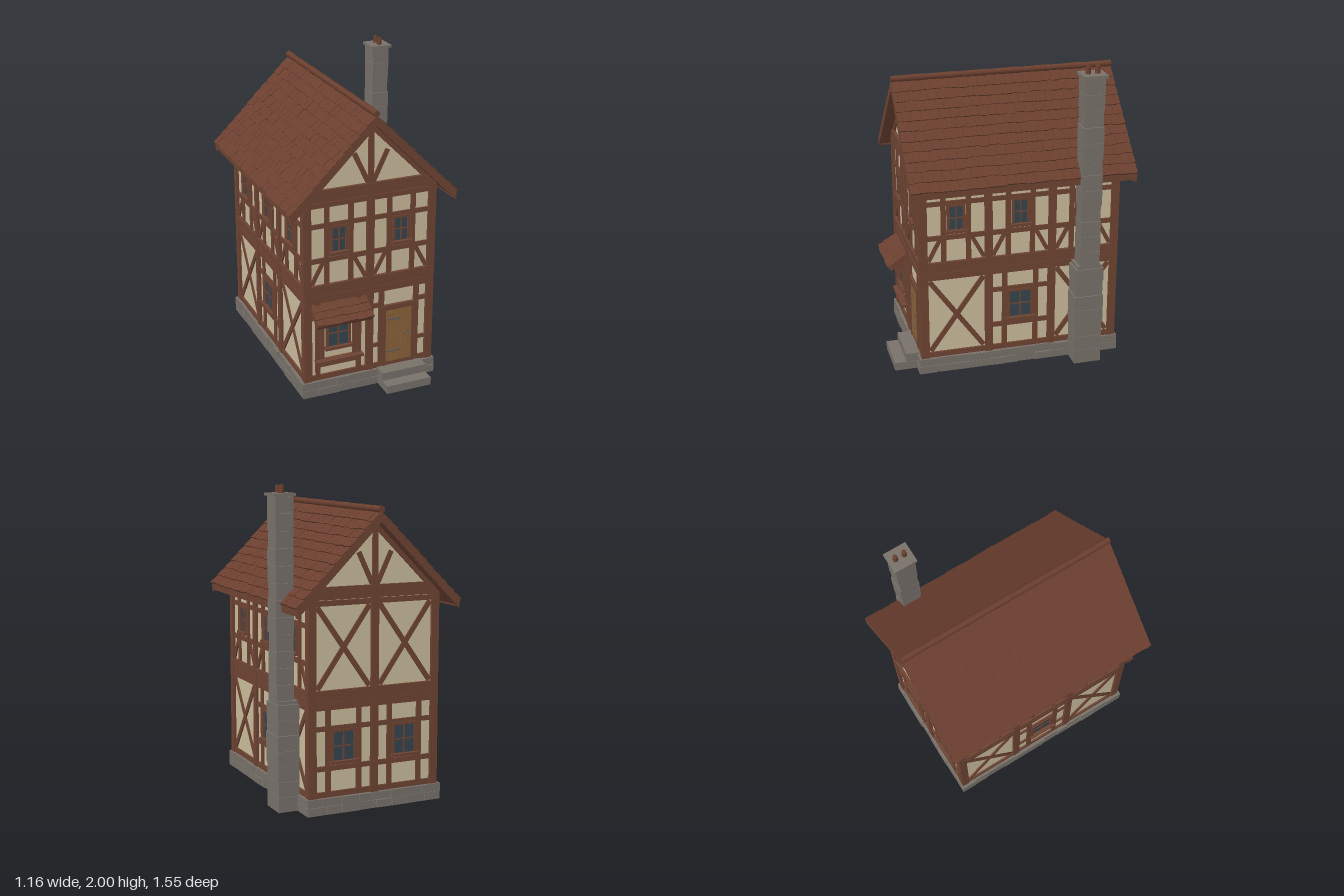
import * as THREE from 'three';
import { mergeGeometries } from 'three/addons/utils/BufferGeometryUtils.js';

const mat = (name, color) => Object.assign(new THREE.MeshStandardMaterial({ color }), { name });
const timber = mat('timber', 0x6e4433);
const tile = mat('roof tile', 0x6b3f2f);
const plaster = mat('plaster', 0xcbbc9c);
const stone = mat('stone', 0x78716a);
const glass = mat('window glass', 0x35444f);
const doorWood = mat('door wood', 0x8b6238);
const iron = mat('iron', 0x5c5c5e);
const floorWood = mat('floor wood', 0x4c3623);

const CX = -0.025, CZ = -0.045;      // centre of the house body
const HW = 0.43, HL = 0.64;          // half width and half length of the plaster walls
let seed = 7;
const rnd = () => (seed = (seed * 16807) % 2147483647) / 2147483647;
const jit = a => (rnd() - 0.5) * 2 * a;

// box given by its limits
function box(x0, x1, y0, y1, z0, z1) {
  return new THREE.BoxGeometry(x1 - x0, y1 - y0, z1 - z0)
    .translate((x0 + x1) / 2, (y0 + y1) / 2, (z0 + z1) / 2);
}
function add(parent, name, geos, material) {
  const list = [].concat(geos);
  const mesh = new THREE.Mesh(list.length > 1 ? mergeGeometries(list) : list[0], material);
  mesh.name = name;
  parent.add(mesh);
  return mesh;
}
function prism(points, z0, z1) {
  const shape = new THREE.Shape(points.map(p => new THREE.Vector2(...p)));
  return new THREE.ExtrudeGeometry(shape, { depth: z1 - z0, bevelEnabled: false }).translate(0, 0, z0);
}

// A wall collects its timbers in local coordinates: x along, y up, z outward from the plaster
class Wall {
  constructor(name, x, z, turn) {
    this.group = new THREE.Group();
    this.group.name = name;
    this.group.position.set(x, 0, z);
    this.group.rotation.y = turn;
    this.wood = [];
    this.panes = [];
  }
  beam(x0, x1, y0, y1, out = 0.013) { this.wood.push(box(x0, x1, y0, y1, -0.01, out)); }
  post(x, w, y0, y1, out) { this.beam(x - w / 2, x + w / 2, y0, y1, out); }
  brace(x0, y0, x1, y1, w = 0.03, out = 0.01) {
    this.wood.push(new THREE.BoxGeometry(Math.hypot(x1 - x0, y1 - y0), w, out + 0.01)
      .rotateZ(Math.atan2(y1 - y0, x1 - x0)).translate((x0 + x1) / 2, (y0 + y1) / 2, (out - 0.01) / 2));
  }
  window(c, y0, y1, w) {
    const h = w / 2, f = 0.016;
    this.panes.push(box(c - h, c + h, y0, y1, 0, 0.006));
    for (const s of [-1, 1]) this.post(c + s * (h + f / 2), f, y0 - f, y1 + f, 0.017);
    this.beam(c - h, c + h, y1, y1 + f, 0.017);
    this.post(c, 0.009, y0, y1, 0.012);
    this.beam(c - h, c + h, (y0 + y1) / 2 - 0.004, (y0 + y1) / 2 + 0.004, 0.011);
    this.beam(c - h - 0.027, c + h + 0.027, y0 - 0.018, y0, 0.032);
  }
  upperWindow(c) {
    for (const s of [-1, 1]) {
      this.post(c + s * 0.08, 0.032, 0.77, 1.29);
      this.brace(c + s * 0.18, 0.78, c + s * 0.1, 0.93, 0.026);
    }
    this.beam(c - 0.185, c + 0.185, 1.15, 1.18, 0.011);
    this.beam(c - 0.185, c + 0.185, 0.92, 0.952, 0.011);
    this.window(c, 0.985, 1.14, 0.085);
  }
  lowerWindow(c) {
    for (const s of [-1, 1]) this.post(c + s * 0.104, 0.033, 0.14, 0.66);
    this.beam(c - 0.185, c + 0.185, 0.52, 0.55, 0.011);
    this.beam(c - 0.185, c + 0.185, 0.27, 0.302, 0.011);
    this.window(c, 0.33, 0.51, 0.14);
  }
  cross(c, y0, y1) {
    for (const s of [-1, 1]) this.brace(c - s * 0.175, y0, c + s * 0.175, y1, 0.032, s > 0 ? 0.01 : 0.008);
  }
  // main posts, sill, floor band and top plates
  frame(half, posts) {
    for (const x of posts) this.post(x, 0.05, 0.1, 1.37, 0.018);
    for (const [y0, y1, out] of [[0.105, 0.14, 0.013], [0.65, 0.697, 0.014], [0.697, 0.735, 0.01],
      [0.735, 0.772, 0.02], [1.285, 1.318, 0.013], [1.322, 1.37, 0.016]]) this.beam(-half, half, y0, y1, out);
  }
  gable() {
    this.beam(-0.4, 0.4, 1.37, 1.4, 0.02);
    this.post(0, 0.035, 1.4, 1.77, 0.015);
    for (const s of [-1, 1]) {
      this.brace(s * 0.11, 1.6, s * 0.015, 1.4);
      this.brace(s * 0.44, 1.33, 0, 1.77, 0.042, 0.012);
    }
  }
  finish(parent) {
    add(this.group, 'timberFrame', this.wood, timber);
    if (this.panes.length) add(this.group, 'windowPanes', this.panes, glass);
    parent.add(this.group);
  }
}

// overlapping tiles on a plane: x runs down the slope, y is its normal
function tiles(rows, cols, length, width) {
  const out = [], L = length / rows, W = width / cols;
  for (let r = 0; r < rows; r++) {
    const odd = r % 2;
    for (let i = 0; i < cols + odd; i++) {
      const a = Math.max(0, i - odd / 2) * W, b = Math.min(cols, i + 1 - odd / 2) * W;
      out.push(box(-0.008, L + 0.005 + jit(0.004), 0, 0.011 + jit(0.002), a + 0.001, b - 0.001)
        .rotateZ(0.1).translate(r * L, 0, -width / 2));
    }
  }
  return mergeGeometries(out);
}

export function createModel() {
  const model = new THREE.Group();
  model.name = 'timberHouse';

  // plaster body with both gables
  add(model, 'plasterWalls', prism([[-HW, 0.1], [HW, 0.1], [HW, 1.35], [0, 1.78], [-HW, 1.35]], -HL, HL)
    .translate(CX, 0, CZ), plaster);

  // front wall: shop window on one side, door on the other
  const front = new Wall('frontWall', CX, CZ + HL, 0);
  const back = new Wall('backWall', CX, CZ - HL, Math.PI);
  for (const w of [front, back]) {
    w.frame(HW, [-0.42, 0, 0.42]);
    w.gable();
  }
  for (const c of [-0.21, 0.21]) {
    front.upperWindow(c);
    back.lowerWindow(c);
    back.cross(c, 0.78, 1.28);
  }
  const shop = -0.213, door = 0.205;
  for (const s of [-1, 1]) {
    front.post(shop + s * 0.14, 0.032, 0.14, 0.65);
    front.post(shop + s * 0.108, 0.02, 0.25, 0.54, 0.016);
  }
  front.beam(shop - 0.185, shop + 0.185, 0.535, 0.57);
  front.beam(shop - 0.155, shop + 0.155, 0.195, 0.235);
  front.beam(shop - 0.16, shop + 0.16, 0.235, 0.252, 0.05);
  front.window(shop, 0.33, 0.51, 0.135);
  for (const s of [-1, 1]) {
    front.post(door + s * 0.122, 0.036, 0.14, 0.65);
    front.post(door + s * 0.1, 0.018, 0.11, 0.51, 0.018);
    front.beam(door + s * 0.16 - 0.025, door + s * 0.16 + 0.025, 0.54, 0.57);
    front.beam(door + s * 0.16 - 0.025, door + s * 0.16 + 0.025, 0.26, 0.285);
  }
  front.beam(door - 0.125, door + 0.125, 0.51, 0.545, 0.02);
  const planks = [];
  for (let i = 0; i < 5; i++) {
    const x = door - 0.092 + i * 0.0368;
    planks.push(box(x + 0.001, x + 0.0358, 0.135, 0.51, -0.01, 0.014 + (i % 2) * 0.002));
  }
  add(front.group, 'doorPlanks', planks, doorWood);
  add(front.group, 'doorHinges', [0.205, 0.435].map(y => box(door - 0.085, door + 0.02, y, y + 0.009, 0, 0.019)), iron);
  add(front.group, 'doorHandle', new THREE.TorusGeometry(0.013, 0.003, 6, 14).translate(door + 0.055, 0.325, 0.019), iron);

  // tiled awning over the shop window
  const awning = new THREE.Group();
  awning.name = 'awning';
  awning.position.set(shop, 0.632, 0);
  awning.rotation.set(0, -Math.PI / 2, -0.56, 'YXZ');
  add(awning, 'awningBoard', box(0, 0.155, -0.025, 0, -0.188, 0.188), timber);
  add(awning, 'awningTiles', tiles(3, 7, 0.155, 0.38), tile);
  front.group.add(awning);

  // long side walls with three bays each
  const sides = [1, -1].map(s => new Wall(s > 0 ? 'leftWall' : 'rightWall', CX + s * HW, CZ, s * Math.PI / 2));
  for (const w of sides) {
    w.frame(HL, [-0.63, -0.21, 0.21, 0.63]);
    for (const c of [-0.42, 0, 0.42]) w.upperWindow(c);
    w.lowerWindow(0);
    for (const c of [-0.42, 0.42]) w.cross(c, 0.15, 0.64);
  }
  [front, back, ...sides].forEach(w => w.finish(model));

  // roof boards, bargeboards, tiles and ridge
  const roof = new THREE.Group();
  roof.name = 'roof';
  roof.position.set(CX, 0, -0.048);
  const RL = 0.727;
  const chevron = (top, end, thick) => [[0, top], [-end, top - end], [-end, top - end - thick], [0, top - thick],
    [end, top - end - thick], [end, top - end]];
  add(roof, 'roofBoards', prism(chevron(1.825, 0.54, 0.045), -RL + 0.01, RL - 0.01), timber);
  for (const s of [-1, 1]) {
    const z = s * (RL - 0.015);
    add(roof, 'bargeboard', prism(chevron(1.842, 0.55, 0.06), z - 0.015, z + 0.015), timber);
    add(roof, 'eaveBoard', box(s * 0.535 - 0.012, s * 0.535 + 0.012, 1.247, 1.295, -RL + 0.01, RL - 0.01), timber);
    const slope = new THREE.Group();
    slope.name = 'roofSlope';
    slope.rotation.y = s > 0 ? 0 : Math.PI;
    const field = add(slope, 'roofTiles', tiles(11, 24, 0.77, 2 * RL), tile);
    field.position.y = 1.83;
    field.rotation.z = -Math.PI / 4;
    roof.add(slope);
  }
  const ridge = [];
  for (let i = 0; i < 7; i++) {
    const l = 2 * RL / 7;
    ridge.push(new THREE.CylinderGeometry(0.019, 0.022, l, 10).rotateX(Math.PI / 2)
      .translate(0, 1.856, -RL + l * (i + 0.5)));
  }
  add(roof, 'ridgeTiles', ridge, tile);
  model.add(roof);

  // plinth: two courses of stones around the base
  const stones = [];
  const X0 = -0.487, X1 = 0.435, Z0 = -0.715, Z1 = 0.628;
  function course(length, n, y, place) {
    let a = 0;
    for (let i = 0; i < n; i++) {
      const b = i === n - 1 ? length : (i + 1 + jit(0.2)) * length / n;
      place(a + 0.002, b - 0.002, y, y + 0.05 + jit(0.002), jit(0.005));
      a = b;
    }
  }
  for (const y of [0.002, 0.054]) {
    for (const s of [-1, 1]) {
      const z = s > 0 ? Z1 : Z0, x = s > 0 ? X1 : X0;
      course(X1 - X0, 8, y, (a, b, y0, y1, j) =>
        stones.push(box(X0 + a, X0 + b, y0, y1, Math.min(z + j, z - s * 0.08), Math.max(z + j, z - s * 0.08))));
      course(Z1 - Z0, 12, y, (a, b, y0, y1, j) =>
        stones.push(box(Math.min(x + j, x - s * 0.08), Math.max(x + j, x - s * 0.08), y0, y1, Z0 + a, Z0 + b)));
    }
  }
  add(model, 'plinthStones', stones, stone);
  add(model, 'doorSteps', [box(0.03, 0.34, 0, 0.054, 0.6, 0.775), box(0.03, 0.34, 0.056, 0.11, 0.6, 0.7)], stone);

  // floor planks and joists seen from below
  const floor = [];
  for (let i = 0; i < 10; i++) floor.push(box(-0.44 + i * 0.083, -0.359 + i * 0.083, 0.08 + (i % 2) * 0.002, 0.099, -0.66, 0.58));
  add(model, 'floorPlanks', floor, floorWood);
  add(model, 'floorJoists', [-0.22, 0, 0.22].map(x => box(CX + x - 0.018, CX + x + 0.018, 0.045, 0.082, -0.66, 0.58)), timber);

  // chimney: wide base, slim stack, cap and two pots
  const chimney = new THREE.Group();
  chimney.name = 'chimney';
  const stack = (x0, x1, hz, y0, y1, n) => Array.from({ length: n }, (_, i) => {
    const h = (y1 - y0) / n, g = jit(0.003);
    return box(x0, x1 + g, y0 + i * h, y0 + (i + 1) * h - 0.002, -hz - g, hz + g);
  });
  add(chimney, 'chimneyBase', stack(0.42, 0.56, 0.092, 0, 0.675, 7), stone);
  add(chimney, 'chimneyShoulder', box(0.425, 0.552, 0.673, 0.695, -0.08, 0.08), stone);
  add(chimney, 'chimneyStack', stack(0.442, 0.556, 0.064, 0.69, 1.935, 12), stone);
  add(chimney, 'chimneyCap', box(0.43, 0.573, 1.934, 1.952, -0.077, 0.077), stone);
  add(chimney, 'chimneyPots', [-0.03, 0.03].map(z =>
    new THREE.CylinderGeometry(0.014, 0.017, 0.05, 12).translate(0.503, 1.975, z)), tile);
  chimney.position.z = -0.466;
  model.add(chimney);
  return model;
}
